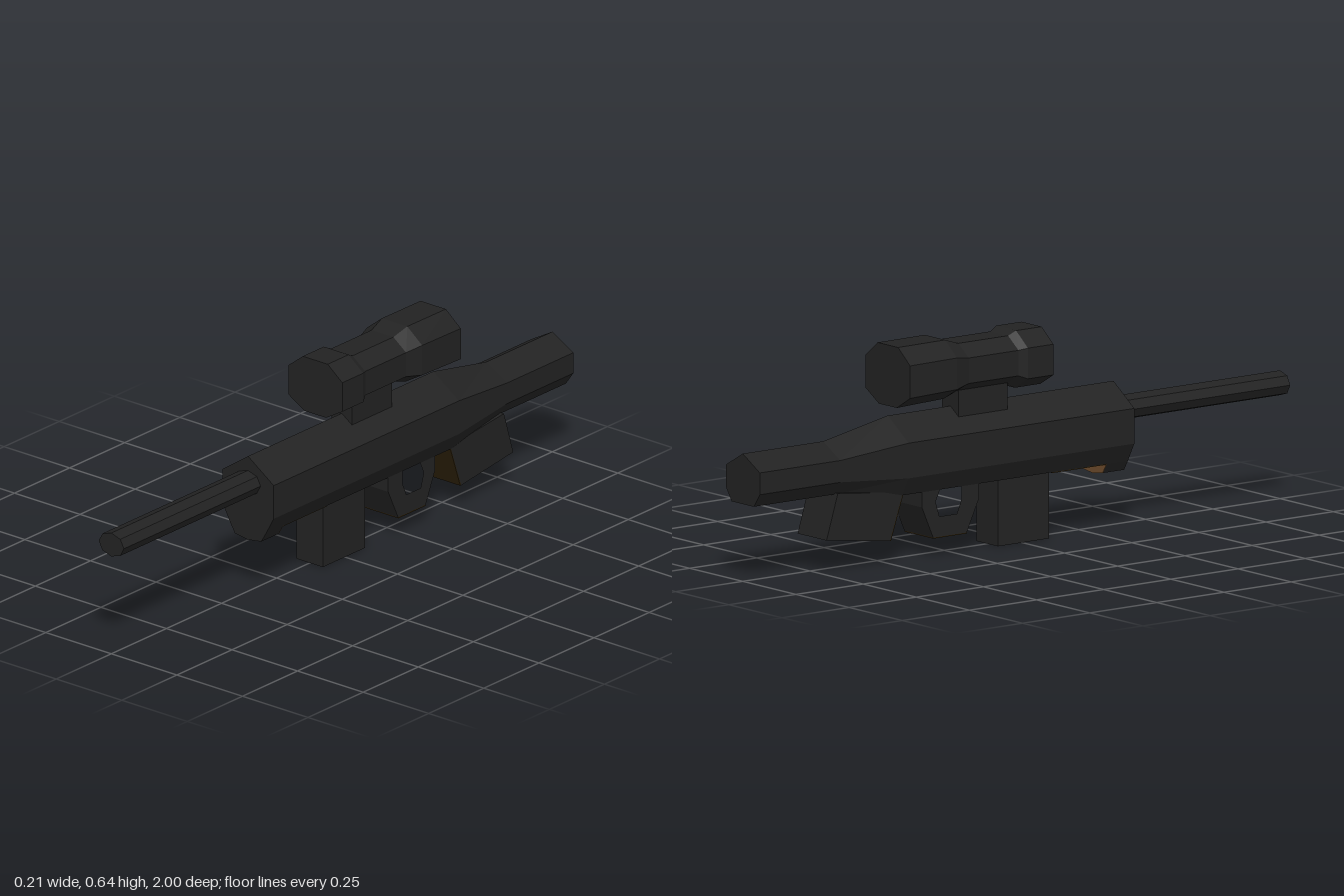
import * as THREE from 'three';

const black = new THREE.MeshStandardMaterial({ color: 0x222222 });
black.name = 'black';
const darkBrown = new THREE.MeshStandardMaterial({ color: 0x2a1e08 });
darkBrown.name = 'dark brown';
const brown = new THREE.MeshStandardMaterial({ color: 0x6b4a2a });
brown.name = 'brown';

function mesh(name, geometry, material = black) {
  const m = new THREE.Mesh(geometry, material);
  m.name = name;
  return m;
}

// Half outline [x, y] from bottom to top, mirrored to a full counter-clockwise ring
function ring(half) {
  const left = half.filter(([x]) => x > 0).map(([x, y]) => [-x, y]).reverse();
  return [...half, ...left];
}

// Faceted solid through rings running from front (+z) to back
function loft(sections) {
  const pos = [];
  const rings = sections.map(({ z, half }) => ring(half).map(([x, y]) => [x, y, z]));
  const tri = (a, b, c) => pos.push(...a, ...b, ...c);
  const n = rings[0].length;
  for (let s = 0; s < rings.length - 1; s++) {
    const f = rings[s], k = rings[s + 1];
    for (let i = 0; i < n; i++) {
      const j = (i + 1) % n;
      tri(f[i], k[i], k[j]);
      tri(f[i], k[j], f[j]);
    }
  }
  const first = rings[0], last = rings[rings.length - 1];
  for (let i = 1; i < n - 1; i++) {
    tri(first[0], first[i], first[i + 1]);
    tri(last[0], last[i + 1], last[i]);
  }
  const g = new THREE.BufferGeometry();
  g.setAttribute('position', new THREE.Float32BufferAttribute(pos, 3));
  g.computeVertexNormals();
  return g;
}

// Side outline [z, y] extruded across the width
function sidePlate(outline, halfWidth, hole) {
  const points = (list) => list.map(([z, y]) => new THREE.Vector2(z, y));
  const shape = new THREE.Shape(points(outline));
  if (hole) shape.holes.push(new THREE.Path(points(hole)));
  const g = new THREE.ExtrudeGeometry(shape, { depth: halfWidth * 2, bevelEnabled: false });
  return g.translate(0, 0, -halfWidth).rotateY(-Math.PI / 2);
}

function box(x, y0, y1, z0, z1) {
  return new THREE.BoxGeometry(x * 2, y1 - y0, z1 - z0).translate(0, (y0 + y1) / 2, (z0 + z1) / 2);
}

export function createModel() {
  const group = new THREE.Group();
  group.name = 'scopedRifle';

  // Peaked body tapering into the stock
  const body = [[0.068, 0.2], [0.098, 0.255], [0.098, 0.36], [0, 0.427]];
  const stock = [[0.052, 0.23], [0.08, 0.27], [0.08, 0.335], [0, 0.38]];
  group.add(mesh('bodyAndStock', loft([
    { z: 0.38, half: body }, { z: -0.46, half: body },
    { z: -0.7, half: stock }, { z: -1, half: stock },
  ])));
  group.add(mesh('bodyUnderside', box(0.066, 0.197, 0.201, 0.1, 0.3), darkBrown));

  // Lip under the front of the body
  const lip = [[0, 0.163], [0.05, 0.17], [0.068, 0.2]];
  group.add(mesh('frontLip', loft([{ z: 0.38, half: lip }, { z: 0.302, half: lip }])));
  group.add(mesh('frontLipBack', loft([{ z: 0.302, half: lip }, { z: 0.3, half: lip }]), brown));

  // Eight-sided oval barrel
  const barrel = new THREE.CylinderGeometry(1, 1, 0.64, 8).rotateX(Math.PI / 2)
    .scale(0.048, 0.037, 1).translate(0, 0.345, 0.68).toNonIndexed();
  barrel.computeVertexNormals();
  group.add(mesh('barrel', barrel));

  group.add(mesh('magazine', box(0.05, 0, 0.21, -0.09, 0.1)));

  // Trigger guard loop
  group.add(mesh('triggerGuard', sidePlate(
    [[-0.175, 0.205], [-0.175, 0.155], [-0.22, 0.06], [-0.345, 0.06], [-0.387, 0.155], [-0.387, 0.205]],
    0.068,
    [[-0.24, 0.2], [-0.24, 0.16], [-0.257, 0.12], [-0.322, 0.12], [-0.336, 0.165], [-0.32, 0.2]],
  )));
  group.add(mesh('triggerGuardBase', box(0.068, 0.057, 0.061, -0.345, -0.22), darkBrown));

  // Slanted grip with a brown front face
  group.add(mesh('grip', sidePlate(
    [[-0.46, 0.21], [-0.46, 0.2], [-0.505, 0.07], [-0.742, 0.1], [-0.7, 0.235]], 0.068)));
  group.add(mesh('gripFront', sidePlate(
    [[-0.457, 0.2], [-0.461, 0.2], [-0.506, 0.07], [-0.502, 0.07]], 0.068), darkBrown));

  // Eight-sided scope, waisted in the middle
  const scopeRing = (z, w, bottom, top) => {
    const h = top - bottom;
    return { z, half: [[w * 0.4, bottom], [w, bottom + h * 0.21], [w, bottom + h * 0.745], [w * 0.46, top]] };
  };
  group.add(mesh('scope', loft([
    scopeRing(0.075, 0.103, 0.462, 0.633), scopeRing(-0.02, 0.103, 0.462, 0.633),
    scopeRing(-0.045, 0.09, 0.478, 0.62), scopeRing(-0.23, 0.09, 0.478, 0.62),
    scopeRing(-0.285, 0.105, 0.462, 0.638), scopeRing(-0.46, 0.105, 0.456, 0.637),
  ])));
  group.add(mesh('scopeMount', box(0.039, 0.39, 0.49, -0.227, -0.045)));

  return group;
}
